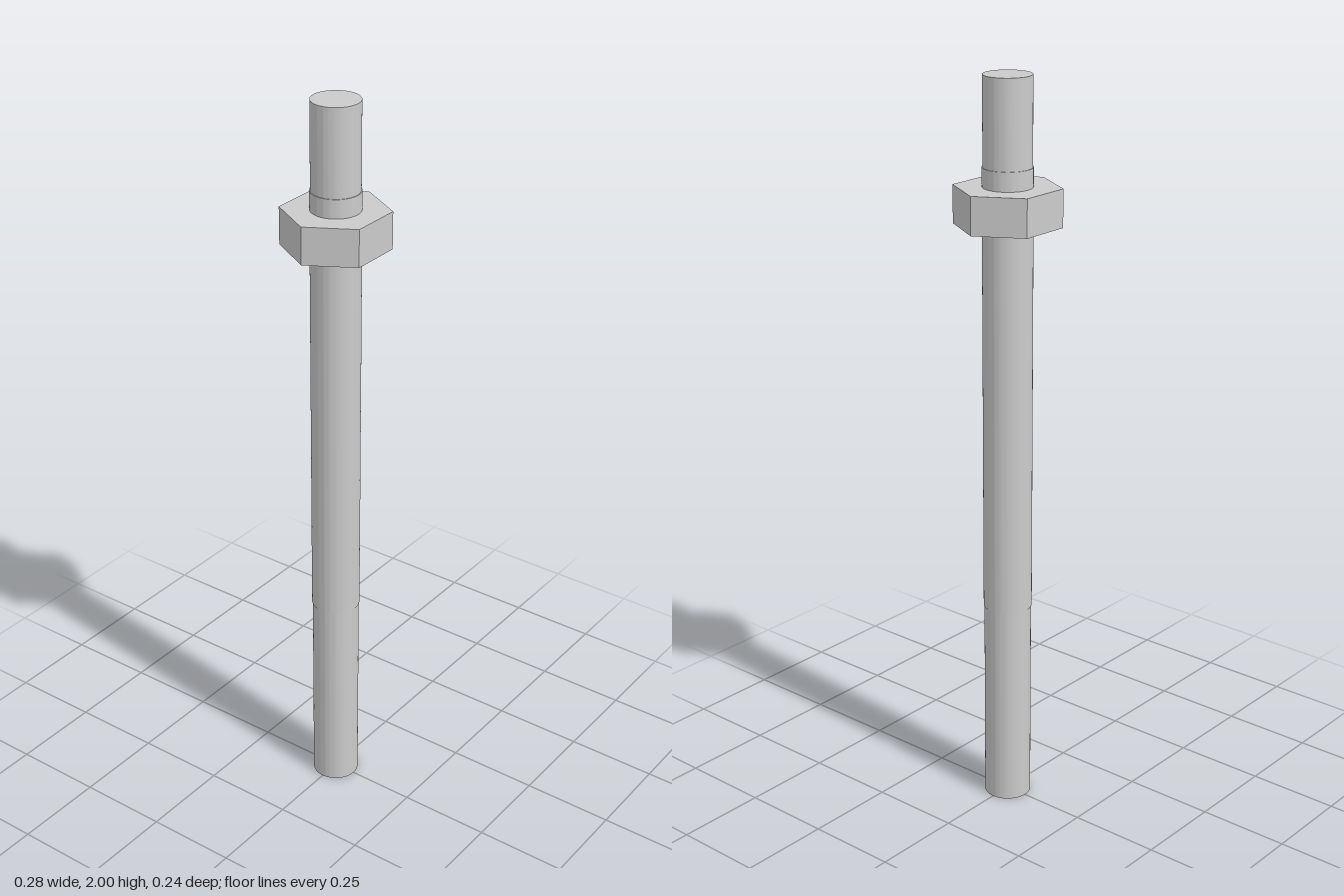
import * as THREE from 'three';
import { toCreasedNormals } from 'three/addons/utils/BufferGeometryUtils.js';

const SHANK_R = 0.065, THREAD_R = 0.063;
const NUT_R = 0.141, NUT_BOTTOM = 1.62, NUT_HEIGHT = 0.1;

export function createModel() {
  const group = new THREE.Group();
  group.name = 'studWithNut';
  const material = new THREE.MeshStandardMaterial({ color: 0xcccccc });

  // Rod: plain shank with slightly thinner ends
  const profile = [
    [0, 0], [THREAD_R, 0], [THREAD_R, 0.57], [SHANK_R, 0.57],
    [SHANK_R, 1.77], [THREAD_R, 1.77], [THREAD_R, 2], [0, 2],
  ].map(([r, y]) => new THREE.Vector2(r, y));
  const rod = new THREE.Mesh(
    toCreasedNormals(new THREE.LatheGeometry(profile, 64), Math.PI / 6), material);
  rod.name = 'rod';
  group.add(rod);

  // Hexagonal nut with a bore, corners pointing along x
  const hexagon = new THREE.Shape();
  for (let i = 0; i < 6; i++) {
    const a = (i * Math.PI) / 3;
    hexagon[i ? 'lineTo' : 'moveTo'](NUT_R * Math.cos(a), NUT_R * Math.sin(a));
  }
  hexagon.closePath();
  hexagon.holes.push(new THREE.Path().absarc(0, 0, SHANK_R, 0, Math.PI * 2, true));
  const nutGeometry = new THREE.ExtrudeGeometry(hexagon, {
    depth: NUT_HEIGHT, bevelEnabled: false, curveSegments: 32,
  });
  nutGeometry.rotateX(-Math.PI / 2);
  const nut = new THREE.Mesh(nutGeometry, material);
  nut.name = 'hexNut';
  nut.position.y = NUT_BOTTOM;
  group.add(nut);

  return group;
}
